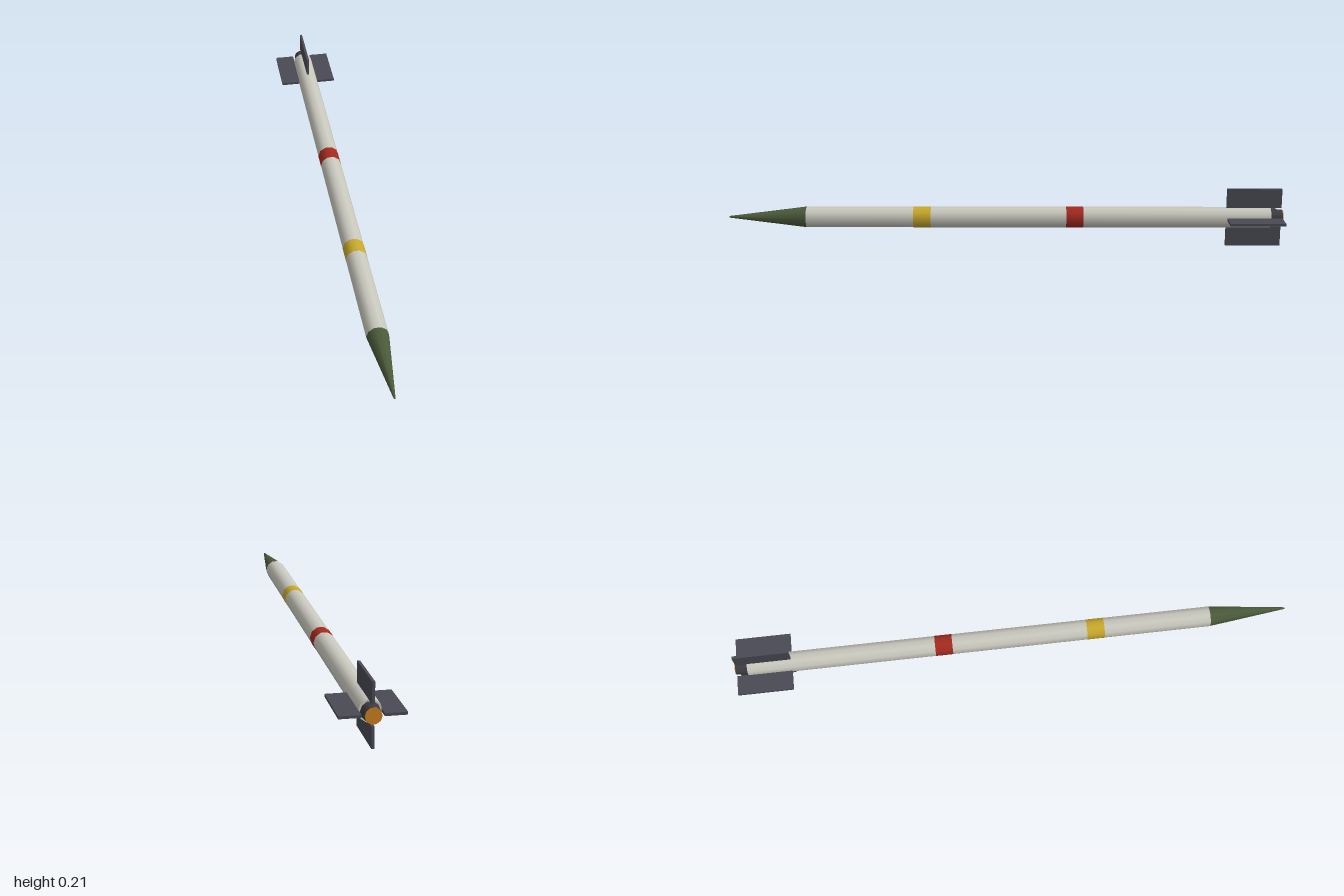
import * as THREE from 'three';

export function createModel() {
  const group = new THREE.Group();
  const paint = (name, color) => {
    const m = new THREE.MeshStandardMaterial({ color });
    m.name = name;
    return m;
  };
  const white = paint('offWhite', 0xc9c9be);
  const green = paint('oliveGreen', 0x4b5a3a);
  const yellow = paint('yellow', 0xc9a92c);
  const red = paint('red', 0xa52a20);
  const grey = paint('finGrey', 0x4a4a55);
  const dark = paint('nozzleGrey', 0x3c3c42);
  const orange = paint('exhaustOrange', 0xd08020);

  const AXIS = 0.1055, R = 0.0375, SIDES = 10;

  const add = (name, geometry, material) => {
    const mesh = new THREE.Mesh(geometry, material);
    mesh.name = name;
    group.add(mesh);
    return mesh;
  };

  // Ten-sided round section along z, from back to front
  const tube = (name, zBack, zFront, rBack, rFront, material, open = false) => {
    const g = new THREE.CylinderGeometry(rFront, rBack, zFront - zBack, SIDES, 1, open, Math.PI / 2);
    g.rotateX(Math.PI / 2);
    g.translate(0, AXIS, (zBack + zFront) / 2);
    return add(name, g, material);
  };

  tube('body', -0.955, 0.72, R, R, white);
  tube('noseCone', 0.72, 1, R, 0.003, green);
  tube('yellowBand', 0.27, 0.333, R + 0.0005, R + 0.0005, yellow);
  tube('redBand', -0.28, -0.218, R + 0.0005, R + 0.0005, red);
  tube('nozzle', -0.998, -0.955, 0.027, 0.031, dark);
  tube('exhaustDisc', -1, -0.998, 0.027, 0.027, orange);

  // Four rectangular tail fins around the axis
  for (let i = 0; i < 4; i++) {
    const g = new THREE.BoxGeometry(0.0705, 0.009, 0.198);
    g.translate(0.07025, 0, -0.896);
    g.rotateZ(i * Math.PI / 2);
    g.translate(0, AXIS, 0);
    add('tailFin' + (i + 1), g, grey);
  }
  return group;
}
